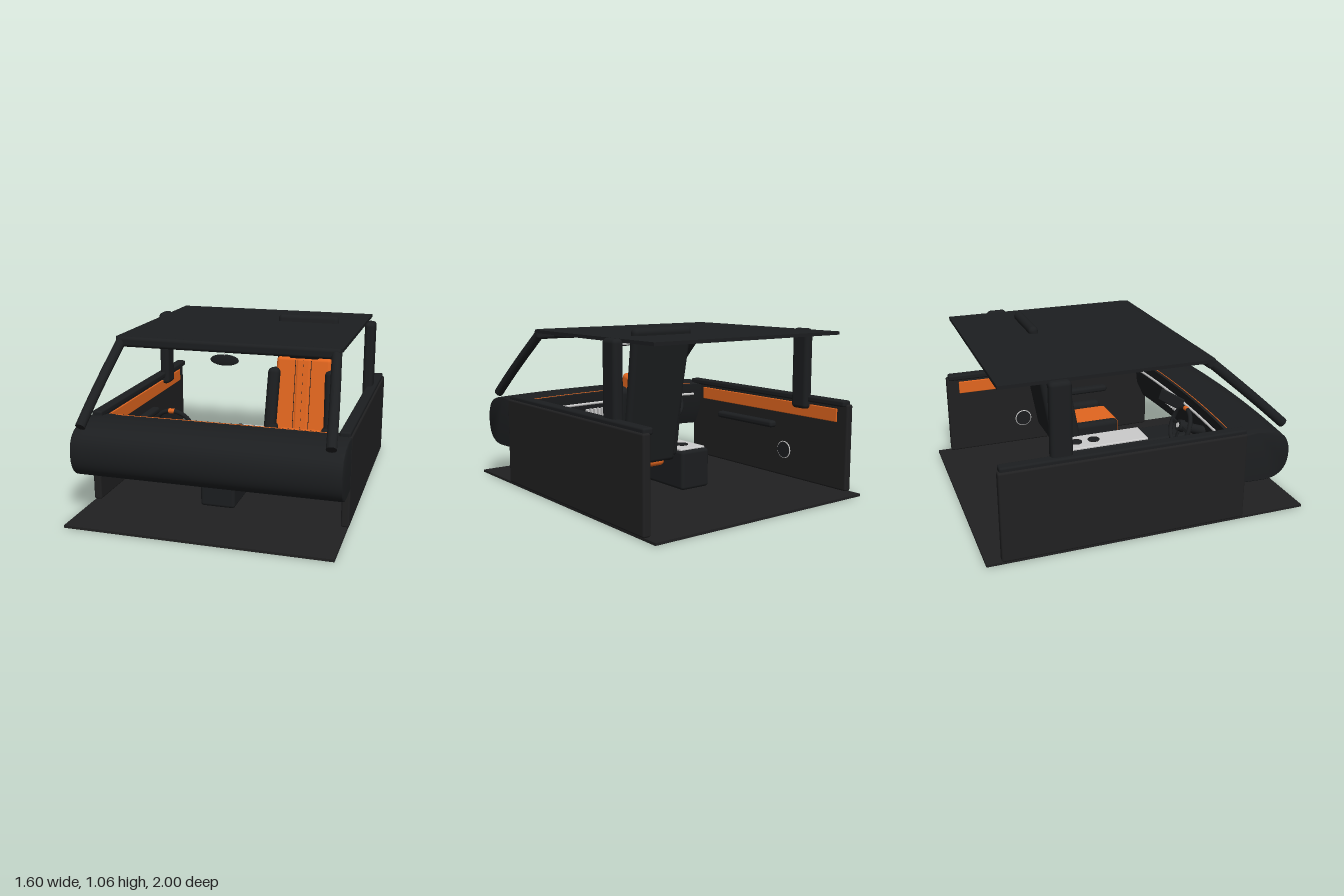
import * as THREE from 'three';
import { toCreasedNormals } from 'three/addons/utils/BufferGeometryUtils.js';
import { RoundedBoxGeometry } from 'three/addons/geometries/RoundedBoxGeometry.js';

const mat = (color, side = THREE.FrontSide) => new THREE.MeshStandardMaterial({ color, side });
const black = mat(0x1c1e20);
const trim = mat(0x202021);
const orange = mat(0xe2661f);
const silver = mat(0xc4c5c8);

function add(parent, name, geometry, material, x = 0, y = 0, z = 0) {
  const mesh = new THREE.Mesh(geometry, material);
  mesh.name = name;
  mesh.position.set(x, y, z);
  parent.add(mesh);
  return mesh;
}

// Rounded box given by its limits on each axis
function block(parent, name, material, [x0, x1], [y0, y1], [z0, z1], r = 0.01) {
  const g = new RoundedBoxGeometry(x1 - x0, y1 - y0, z1 - z0, 3, r);
  return add(parent, name, g, material, (x0 + x1) / 2, (y0 + y1) / 2, (z0 + z1) / 2);
}

function group(parent, name) {
  const g = new THREE.Group();
  g.name = name;
  parent.add(g);
  return g;
}

// The dashboard bows forward and up at its middle
const bow = (x) => 1 - (x / 0.8) ** 2;

function bowedTube(parent, name, material, half, y, z, r) {
  const pts = [];
  for (let i = 0; i <= 12; i++) {
    const x = -half + (2 * half * i) / 12;
    pts.push(new THREE.Vector3(x, y + 0.012 * bow(x), z + 0.03 * bow(x)));
  }
  add(parent, name, new THREE.TubeGeometry(new THREE.CatmullRomCurve3(pts), 40, r, 8), material);
}

function dashboard(root) {
  const dash = group(root, 'dashboard');
  const s = new THREE.Shape();
  s.moveTo(0.49, 0.545);
  s.lineTo(0.62, 0.56);
  s.bezierCurveTo(0.78, 0.56, 0.865, 0.53, 0.865, 0.40);
  s.bezierCurveTo(0.865, 0.28, 0.79, 0.245, 0.70, 0.245);
  s.lineTo(0.56, 0.25);
  s.lineTo(0.51, 0.36);
  s.closePath();
  let g = new THREE.ExtrudeGeometry(s, {
    depth: 1.576, steps: 24, curveSegments: 14,
    bevelThickness: 0.01, bevelSize: 0.006, bevelOffset: -0.002, bevelSegments: 2,
  });
  g.translate(0, 0, -0.788).rotateY(-Math.PI / 2);
  const p = g.attributes.position;
  for (let i = 0; i < p.count; i++) {
    const b = bow(p.getX(i));
    p.setY(i, p.getY(i) + 0.012 * b);
    p.setZ(i, p.getZ(i) + 0.03 * b);
  }
  add(dash, 'dashBody', toCreasedNormals(g, 0.6), black);
  bowedTube(dash, 'dashStitching', orange, 0.66, 0.551, 0.505, 0.003);
  bowedTube(dash, 'dashTrimStrip', silver, 0.68, 0.475, 0.49, 0.009);
  // Air vent slats
  for (let i = 0; i < 7; i++) {
    block(dash, 'ventSlat', silver, [0.05 + i * 0.03, 0.066 + i * 0.03], [0.39, 0.45], [0.5, 0.55], 0.003);
  }
  const screen = block(dash, 'centreScreen', black, [-0.07, 0.13], [0.45, 0.53], [0.455, 0.475], 0.008);
  screen.rotation.set(0.3, 0.45, 0);
}

function steering(root) {
  const wheel = group(root, 'steeringWheel');
  wheel.position.set(-0.34, 0.465, 0.36);
  wheel.rotation.x = 0.35;
  add(wheel, 'wheelRim', new THREE.TorusGeometry(0.115, 0.014, 12, 48), black);
  const mark = add(wheel, 'rimMarker', new THREE.TorusGeometry(0.115, 0.0155, 12, 8, 0.3), orange);
  mark.rotation.z = Math.PI / 2 - 0.15;
  add(wheel, 'wheelHub', new THREE.CylinderGeometry(0.035, 0.04, 0.035, 24).rotateX(-Math.PI / 2), black);
  add(wheel, 'hubCap', new THREE.CylinderGeometry(0.016, 0.016, 0.006, 20).rotateX(Math.PI / 2), silver, 0, 0, -0.02);
  for (const a of [0, Math.PI, -Math.PI / 2]) {
    const spoke = block(wheel, 'wheelSpoke', black, [-0.05, 0.05], [-0.012, 0.012], [-0.006, 0.006], 0.005);
    spoke.position.set(0.07 * Math.cos(a), 0.07 * Math.sin(a), 0);
    spoke.rotation.z = a;
  }
  add(wheel, 'steeringColumn', new THREE.CylinderGeometry(0.03, 0.03, 0.2, 20).rotateX(Math.PI / 2), black, 0, 0, 0.11);
}

function seat(root) {
  const s = group(root, 'seat');
  s.position.x = 0.33;
  // Cushion with side bolsters
  block(s, 'seatCushion', orange, [-0.15, 0.15], [0.2, 0.33], [-0.29, 0.15], 0.03);
  for (const k of [-1, 1]) {
    const b = block(s, 'cushionBolster', black, [-0.035, 0.035], [0.225, 0.36], [-0.3, 0.12], 0.03);
    b.position.x = k * 0.185;
  }
  // Reclined backrest
  const back = group(s, 'backrest');
  back.position.set(0, 0.24, -0.305);
  back.rotation.x = -0.172;
  const g = new RoundedBoxGeometry(0.41, 0.83, 0.06, 4, 0.028);
  const p = g.attributes.position;
  for (let i = 0; i < p.count; i++) {
    p.setX(i, p.getX(i) * Math.min(1, 0.92 + 0.2 * (p.getY(i) + 0.2)));
  }
  add(back, 'backrestShell', g, black, 0, 0.415, 0);
  block(back, 'backrestPad', orange, [-0.185, 0.185], [0.03, 0.55], [0.01, 0.095], 0.025);
  block(back, 'backrestCentrePad', orange, [-0.052, 0.052], [0.04, 0.545], [0.03, 0.1], 0.02);
  for (const x of [-0.053, 0, 0.053]) {
    block(back, 'backrestSeam', black, [x - 0.0015, x + 0.0015], [0.06, 0.53], [0.08, 0.1], 0.001);
  }
  block(back, 'headrest', black, [-0.107, 0.107], [0.54, 0.675], [0.01, 0.105], 0.025);
  for (const k of [-1, 1]) {
    const b = block(back, 'backrestBolster', black, [-0.039, 0.039], [0, 0.475], [0.01, 0.155], 0.034);
    b.position.x = k * 0.198;
    b.rotation.z = k * 0.03;
  }
}

function centreConsole(root) {
  const c = group(root, 'centreConsole');
  block(c, 'consoleBody', black, [-0.107, 0.107], [0.04, 0.285], [-0.36, 0.56], 0.02);
  block(c, 'consolePlate', silver, [-0.095, 0.095], [0.275, 0.295], [-0.33, 0.25], 0.006);
  for (const z of [-0.22, -0.1]) {
    add(c, 'cupHolder', new THREE.CylinderGeometry(0.036, 0.036, 0.006, 28), black, 0, 0.295, z);
    add(c, 'cupHolderRing', new THREE.TorusGeometry(0.036, 0.004, 8, 28).rotateX(Math.PI / 2), trim, 0, 0.298, z);
  }
}

// One door and its pillars; k is the side of the car
function sideParts(root, k) {
  const d = group(root, k > 0 ? 'leftDoor' : 'rightDoor');
  const span = (a, b) => (k > 0 ? [a, b] : [-b, -a]);
  block(d, 'doorPanel', trim, span(0.75, 0.8), [0.015, 0.562], [-0.912, 0.582], 0.012);
  block(d, 'doorCap', black, span(0.725, 0.79), [0.548, 0.587], [-0.9, 0.578], 0.012);
  block(d, 'doorInsert', orange, span(0.742, 0.756), [0.445, 0.53], [-0.83, 0.46], 0.005);
  block(d, 'armrest', black, span(0.7, 0.76), [0.335, 0.38], [-0.3, 0.25], 0.018);
  add(d, 'speakerRing', new THREE.TorusGeometry(0.055, 0.004, 8, 36).rotateY(Math.PI / 2), silver, k * 0.748, 0.195, -0.38);
  add(d, 'speaker', new THREE.CylinderGeometry(0.053, 0.053, 0.01, 32).rotateZ(Math.PI / 2), black, k * 0.748, 0.195, -0.38);
  block(root, 'rearPillar', black, span(0.7, 0.766), [0.5, 1.018], [-0.605, -0.477], 0.025);

  // Windscreen pillar swept along a gentle curve
  const path = new THREE.CatmullRomCurve3([
    [0.73, 0.57, 0.85], [0.715, 0.69, 0.72], [0.695, 0.82, 0.575], [0.665, 0.99, 0.38],
  ].map(([x, y, z]) => new THREE.Vector3(k * x, y, z)));
  const section = new THREE.Shape().absarc(0, 0, 0.03, 0, Math.PI * 2);
  const g = new THREE.ExtrudeGeometry(section, { steps: 20, curveSegments: 10, extrudePath: path });
  add(root, 'windscreenPillar', toCreasedNormals(g, 0.8), black);
  block(root, 'sunVisor', black, span(0.12, 0.58), [0.967, 0.985], [0.2, 0.37], 0.008);
}

export function createModel() {
  const root = new THREE.Group();
  root.name = 'carInterior';
  add(root, 'floor', new THREE.BoxGeometry(1.58, 0.015, 2), trim, 0, 0.0075, 0);
  add(root, 'roof', new THREE.BoxGeometry(1.4, 0.02, 1.25), black, 0, 1.005, -0.245);
  block(root, 'windscreenHeader', black, [-0.695, 0.695], [0.955, 1.018], [0.355, 0.41], 0.02);
  dashboard(root);
  steering(root);
  seat(root);
  centreConsole(root);
  for (const k of [-1, 1]) sideParts(root, k);

  // Rear-view mirror
  const mirror = group(root, 'rearViewMirror');
  const shell = add(mirror, 'mirrorShell', new THREE.SphereGeometry(1, 32, 16), black, 0, 0.912, 0.395);
  shell.scale.set(0.088, 0.034, 0.007);
  add(mirror, 'mirrorStem', new THREE.CylinderGeometry(0.004, 0.004, 0.06, 10), silver, 0, 0.95, 0.395);
  const glass = add(mirror, 'mirrorGlass', new THREE.SphereGeometry(1, 32, 12), silver, 0, 0.912, 0.39);
  glass.scale.set(0.078, 0.028, 0.004);
  return root;
}
